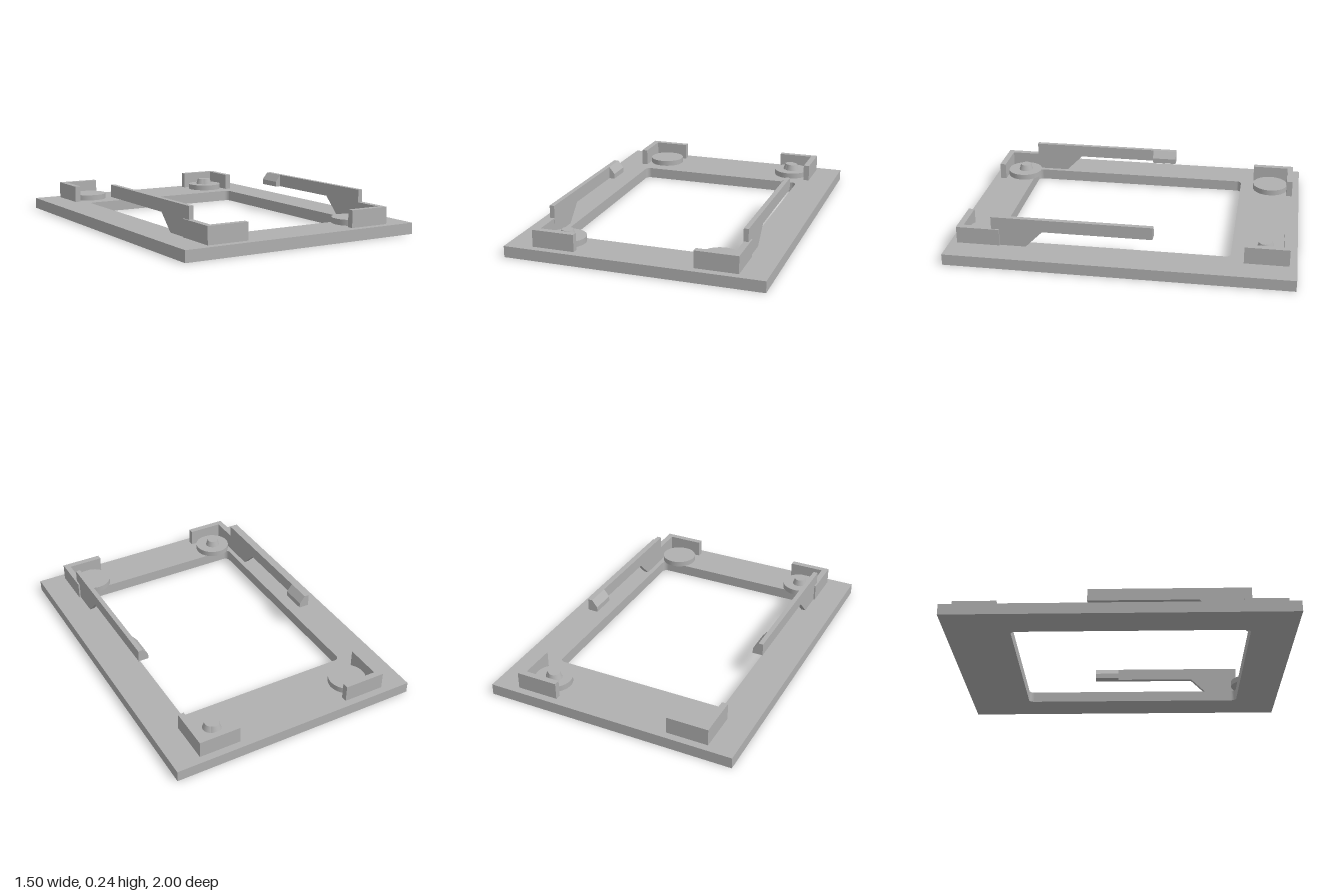
import * as THREE from 'three';

const grey = new THREE.MeshStandardMaterial({ color: 0xb0b0b0 });
grey.name = 'grey plastic';

const PLATE_TOP = 0.066, WALL_TOP = 0.166, ARM_TOP = 0.24, DISC_TOP = 0.1, PIN_TOP = 0.136;

function add(parent, name, geometry) {
  const mesh = new THREE.Mesh(geometry, grey);
  mesh.name = name;
  parent.add(mesh);
  return mesh;
}

// Polygon in (x, y) extruded by depth along +z
function prism(points, depth) {
  const shape = new THREE.Shape(points.map(([x, y]) => new THREE.Vector2(x, y)));
  return new THREE.ExtrudeGeometry(shape, { depth, bevelEnabled: false });
}

// Flat frame with a rounded rectangular opening; shape y becomes -z
function frameGeometry() {
  const shape = new THREE.Shape([[-0.75, -1], [0.75, -1], [0.75, 1], [-0.75, 1]]
    .map(([x, y]) => new THREE.Vector2(x, y)));
  const x = 0.527, lo = -0.74, hi = 0.625, r = 0.03;
  const hole = new THREE.Path();
  hole.absarc(x - r, hi - r, r, 0, Math.PI / 2);
  hole.absarc(-x + r, hi - r, r, Math.PI / 2, Math.PI);
  hole.absarc(-x + r, lo + r, r, Math.PI, Math.PI * 1.5);
  hole.absarc(x - r, lo + r, r, Math.PI * 1.5, Math.PI * 2);
  hole.closePath();
  shape.holes.push(hole);
  return new THREE.ExtrudeGeometry(shape, { depth: PLATE_TOP, bevelEnabled: false, curveSegments: 8 })
    .rotateX(-Math.PI / 2);
}

// L-shaped corner wall; sx and sz choose the corner
function cornerGeometry(sx, sz) {
  const ox = 0.593, oz = 0.957, t = 0.036, ix = 0.345, iz = 0.703;
  let pts = [[ox, oz], [ix, oz], [ix, oz - t], [ox - t, oz - t], [ox - t, iz], [ox, iz]]
    .map(([x, z]) => [sx * x, -sz * z]);
  return prism(pts, WALL_TOP - PLATE_TOP).rotateX(-Math.PI / 2).translate(0, PLATE_TOP, 0);
}

function pin(parent, name, x, z) {
  const h = PIN_TOP - DISC_TOP;
  add(parent, name, new THREE.CylinderGeometry(0.033, 0.045, h, 32))
    .position.set(x, DISC_TOP + h / 2, z);
}

export function createModel() {
  const model = new THREE.Group();
  model.name = 'mountingFrame';
  add(model, 'basePlate', frameGeometry());

  // Corner walls and round support pads
  for (const sx of [-1, 1]) for (const sz of [-1, 1]) {
    const name = (sz > 0 ? 'front' : 'back') + (sx > 0 ? 'Left' : 'Right');
    add(model, name + 'CornerWall', cornerGeometry(sx, sz));
    const h = DISC_TOP - PLATE_TOP;
    add(model, name + 'Pad', new THREE.CylinderGeometry(0.109, 0.109, h, 48))
      .position.set(sx * 0.448, PLATE_TOP + h / 2, sz * 0.815);
  }

  // Locating pins: one round, one widened diagonally
  pin(model, 'roundPin', -0.448, 0.81);
  pin(model, 'widePinOuter', 0.438, -0.822);
  pin(model, 'widePinInner', 0.452, -0.812);

  // Spring arms with a sloped catch at the free end
  for (const s of [-1, 1]) {
    const clip = new THREE.Group();
    clip.name = s > 0 ? 'leftClip' : 'rightClip';
    const profile = [[0.75, PLATE_TOP], [0.75, ARM_TOP], [-0.187, ARM_TOP],
      [-0.187, WALL_TOP], [0.45, WALL_TOP], [0.55, PLATE_TOP]];
    add(clip, 'springArm', prism(profile.map(([z, y]) => [-z, y]), 0.028)
      .rotateY(Math.PI / 2).translate(s > 0 ? 0.556 : -0.584, 0, 0));
    const hook = [[0.556, WALL_TOP], [0.556, ARM_TOP], [0.522, 0.197], [0.522, WALL_TOP]];
    add(clip, 'catch', prism(hook.map(([x, y]) => [s * x, y]), 0.15).translate(0, 0, -0.187));
    model.add(clip);
  }
  return model;
}
